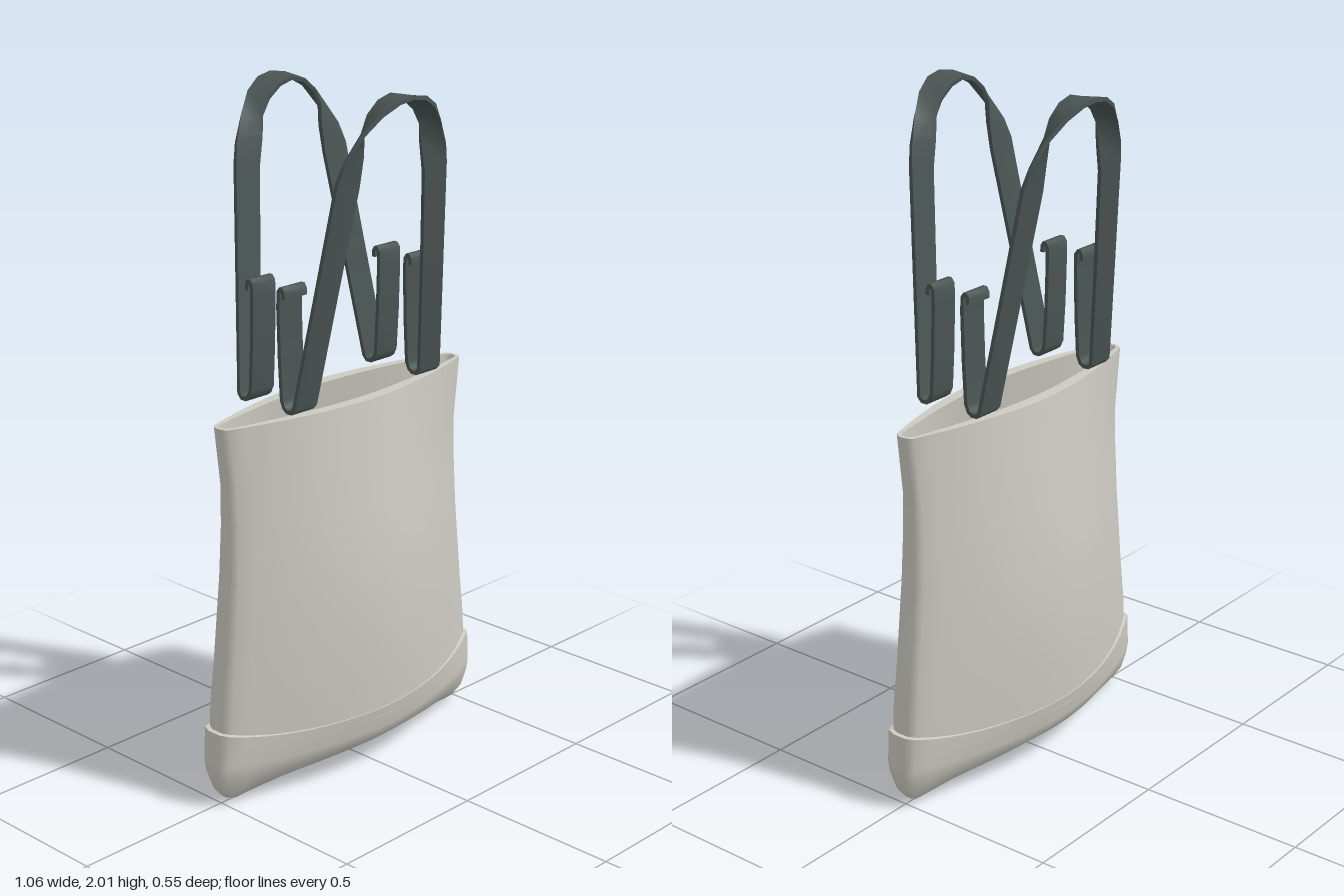
import * as THREE from 'three';

const SEG = 22;

// Lens-shaped loop with blunt ends: front from -x to +x, then back again
function section([w, d, e, y, lift = 0, endRise = 0]) {
  const pts = [];
  const add = (x, z, u) =>
    pts.push([x, y + lift * (1 - u * u) + endRise * u ** 4, z]);
  for (const side of [1, -1]) {
    for (let i = 0; i <= SEG; i++) {
      const u = side * (-1 + (2 * i) / SEG);
      add(u * (w - 0.012), side * (e + (d - e) * (1 - Math.abs(u) ** 1.8)), u);
    }
    add(side * w, side * e * 0.45, 1);
    add(side * w, -side * e * 0.45, 1);
  }
  return pts;
}

// Skin joining a list of loops
function loft(rows, name, material) {
  const loops = rows.map(section);
  const n = loops[0].length;
  const index = [];
  for (let r = 0; r < loops.length - 1; r++) {
    for (let i = 0; i < n; i++) {
      const a = r * n + i, b = r * n + ((i + 1) % n);
      index.push(a, b, b + n, a, b + n, a + n);
    }
  }
  const geo = new THREE.BufferGeometry();
  geo.setAttribute('position', new THREE.Float32BufferAttribute(loops.flat(2), 3));
  geo.setIndex(index);
  geo.computeVertexNormals();
  const mesh = new THREE.Mesh(geo, material);
  mesh.name = name;
  return mesh;
}

// Flat band from stations holding an outer and an inner edge point
function band(stations, thickness) {
  const count = stations.length;
  const corners = stations.map(([a, b], i) => {
    const mid = (s) => s[0].clone().add(s[1]).multiplyScalar(0.5);
    const p = mid(stations[i]);
    const t = new THREE.Vector3();
    if (i > 0) t.add(p.clone().sub(mid(stations[i - 1])).normalize());
    if (i < count - 1) t.add(mid(stations[i + 1]).sub(p).normalize());
    const nrm = b.clone().sub(a).cross(t).normalize().multiplyScalar(thickness);
    return [a, b, b.clone().add(nrm), a.clone().add(nrm)];
  });
  const pos = [], index = [];
  const quad = (a, b, c, d) => index.push(a, b, c, a, c, d);
  // four long faces, each with its own vertices so the edges stay sharp
  for (let f = 0; f < 4; f++) {
    const base = pos.length / 3;
    corners.forEach((c) => pos.push(...c[f].toArray(), ...c[(f + 1) % 4].toArray()));
    for (let i = 0; i < count - 1; i++) {
      const k = base + i * 2;
      quad(k, k + 1, k + 3, k + 2);
    }
  }
  // end caps
  [corners[0].slice().reverse(), corners[count - 1]].forEach((c) => {
    const base = pos.length / 3;
    c.forEach((v) => pos.push(...v.toArray()));
    quad(base, base + 1, base + 2, base + 3);
  });
  const geo = new THREE.BufferGeometry();
  geo.setAttribute('position', new THREE.Float32BufferAttribute(pos, 3));
  geo.setIndex(index);
  geo.computeVertexNormals();
  return geo;
}

function strapGeometry() {
  const half = [];
  const put = (ax, ay, az, bx, by, bz) =>
    half.push([new THREE.Vector3(ax, ay, az), new THREE.Vector3(bx, by, bz)]);
  // tail with curled tip, then the fold at the bottom: [y, z]
  [[1.47, 0.077], [1.488, 0.077], [1.502, 0.069], [1.502, 0.056], [1.488, 0.046],
    [1.44, 0.045], [1.3, 0.049], [1.18, 0.056], [1.158, 0.066], [1.148, 0.08],
    [1.148, 0.1], [1.163, 0.114]]
    .forEach(([y, z]) => put(0.297, y, z, 0.211, y, z));
  // leg, then the twist into the top of the arch
  put(0.256, 1.48, 0.158, 0.17, 1.48, 0.158);
  put(0.217, 1.79, 0.2, 0.13, 1.77, 0.197);
  put(0.198, 1.845, 0.213, 0.115, 1.85, 0.198);
  put(0.152, 1.915, 0.235, 0.108, 1.907, 0.194);
  put(0.102, 1.964, 0.256, 0.085, 1.952, 0.19);
  put(0.05, 1.992, 0.27, 0.045, 1.984, 0.187);
  const mirror = (v) => new THREE.Vector3(-v.x, v.y, v.z);
  const other = half.map(([a, b]) => [mirror(a), mirror(b)]).reverse();
  const top = [new THREE.Vector3(0, 2, 0.274), new THREE.Vector3(0, 1.996, 0.186)];
  return band([...half, top, ...other], 0.012);
}

export function createModel() {
  const canvas = new THREE.MeshStandardMaterial({ color: 0xcccac1, side: THREE.DoubleSide });
  canvas.name = 'canvas';
  const webbing = new THREE.MeshStandardMaterial({ color: 0x4a5553, side: THREE.DoubleSide });
  webbing.name = 'webbing';

  const model = new THREE.Group();
  model.name = 'toteBag';

  // rows: half width, half depth, end half depth, height, centre lift, end rise
  const rimOuter = [0.485, 0.12, 0.03, 1.13];
  const rimInner = [0.475, 0.083, 0.02, 1.13];
  const panelTop = [0.523, 0.191, 0.05, 0.2, 0, 0.03];

  model.add(loft([
    [0.512, 0.186, 0.045, 0.17], [0.505, 0.193, 0.045, 0.3], [0.49, 0.195, 0.043, 0.43],
    [0.478, 0.192, 0.042, 0.55], [0.466, 0.182, 0.04, 0.68], [0.46, 0.162, 0.036, 0.83],
    [0.462, 0.143, 0.032, 0.95], rimOuter,
  ], 'bagBody', canvas));

  model.add(loft([rimOuter, rimInner], 'rim', canvas));

  model.add(loft([
    rimInner, [0.45, 0.115, 0.022, 0.95], [0.448, 0.14, 0.026, 0.83],
    [0.454, 0.165, 0.03, 0.65], [0.478, 0.175, 0.033, 0.43], [0.493, 0.165, 0.035, 0.22],
    [0.49, 0.14, 0.03, 0.13, 0.01], [0.475, 0.08, 0.02, 0.07, 0.025],
    [0.44, 0.002, 0.002, 0.04, 0.03],
  ], 'lining', canvas));

  // reinforced base with its small upper ledge
  model.add(loft([
    [0.44, 0.002, 0.002, 0, 0.035], [0.46, 0.03, 0.01, 0.003, 0.035],
    [0.487, 0.078, 0.022, 0.015, 0.03], [0.512, 0.125, 0.036, 0.045, 0.02],
    [0.525, 0.163, 0.046, 0.095], [0.528, 0.178, 0.05, 0.13], panelTop,
  ], 'basePanel', canvas));
  model.add(loft([panelTop, [0.509, 0.187, 0.045, 0.2, 0, 0.03]], 'basePanelEdge', canvas));

  // straps
  const geo = strapGeometry();
  for (const [name, turn] of [['frontStrap', 0], ['backStrap', Math.PI]]) {
    const strap = new THREE.Mesh(geo, webbing);
    strap.name = name;
    strap.rotation.y = turn;
    strap.position.x = -0.007;
    model.add(strap);
  }
  return model;
}
